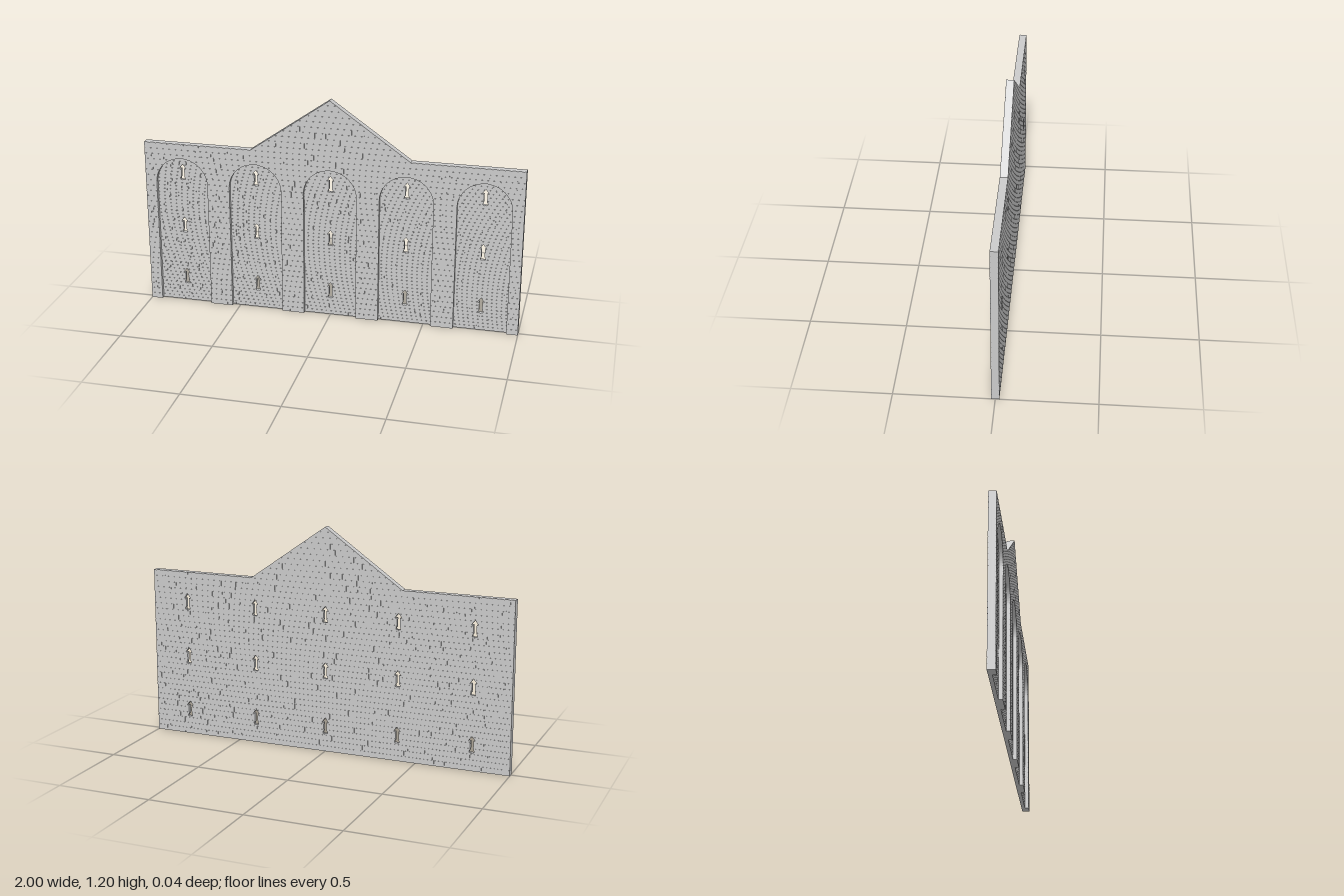
import * as THREE from 'three';
import { mergeGeometries } from 'three/addons/utils/BufferGeometryUtils.js';

const WALL_TOP = 0.9, PEAK = 1.195, GABLE = 0.42; // wall outline
const NICHE_R = 0.14, SPRING = 0.68;              // arched niches
const HALF = 0.02, JOINT = 0.0015;                // half thickness, mortar depth
const COLUMNS = [-0.8, -0.4, 0, 0.4, 0.8];
const SLIT_ROWS = [0.14, 0.44, 0.74];

// Half widths of the wall, a niche and an arrow slit at height y
const wallHalf = y => (y <= WALL_TOP ? 1 : Math.max(0, GABLE * (PEAK - y) / (PEAK - WALL_TOP)));
const nicheHalf = y => (y <= SPRING ? NICHE_R : Math.sqrt(Math.max(0, NICHE_R ** 2 - (y - SPRING) ** 2)));
const SLIT = [[0.013, -0.043], [0.013, -0.034], [0.008, -0.028], [0.008, 0.018], [0.019, 0.018], [0, 0.043]];
const slitHalf = d => {
  if (d < -0.043 || d > 0.043) return 0;
  if (d >= 0.018) return 0.019 * (0.043 - d) / 0.025;
  return d < -0.028 ? 0.013 : 0.008;
};
const slitsHalf = y => Math.max(...SLIT_ROWS.map(r => slitHalf(y - r)));

function seeded(seed) {
  return () => (seed = (seed * 16807) % 2147483647) / 2147483647;
}

function extrude(shape, z0, z1) {
  const g = new THREE.ExtrudeGeometry(shape, { depth: z1 - z0, bevelEnabled: false, curveSegments: 20 });
  return g.translate(0, 0, z0);
}

// Slab outline; the front layer is notched from below by the niches
function wallShape(withNiches) {
  const s = new THREE.Shape();
  s.moveTo(-1, 0);
  if (withNiches) {
    for (const c of COLUMNS) {
      s.lineTo(c - NICHE_R, 0);
      s.lineTo(c - NICHE_R, SPRING);
      s.absarc(c, SPRING, NICHE_R, Math.PI, 0, true);
      s.lineTo(c + NICHE_R, 0);
    }
  }
  [[1, 0], [1, WALL_TOP], [GABLE, WALL_TOP], [0, PEAK], [-GABLE, WALL_TOP], [-1, WALL_TOP]]
    .forEach(p => s.lineTo(...p));
  return s;
}

function slitHole(cx, cy) {
  const right = SLIT.map(([x, y]) => new THREE.Vector2(cx + x, cy + y));
  const left = SLIT.slice(0, -1).reverse().map(([x, y]) => new THREE.Vector2(cx - x, cy + y));
  return new THREE.Path([...right, ...left]);
}

// One course of bricks between two edge curves x = left(y) and x = right(y)
function layCourse(out, left, right, y0, y1, length, gap, z, rand) {
  const ys = [0, 0.25, 0.5, 0.75, 1].map(t => y0 + (y1 - y0) * t);
  const start = Math.max(...ys.map(left)), end = Math.min(...ys.map(right));
  if (Math.max(...ys.map(y => right(y) - left(y))) < 0.008) return;
  const joints = [];
  for (let x = start + length * (0.3 + 0.7 * rand()); x < end - length * 0.3; x += length * (0.7 + 0.6 * rand())) joints.push(x);
  for (let i = 0; i <= joints.length; i++) {
    const l = i === 0 ? left : () => joints[i - 1] + gap / 2;
    const r = i === joints.length ? right : () => joints[i] - gap / 2;
    const ly = i === 0 ? ys : [y0, y1], ry = i === joints.length ? ys : [y0, y1];
    const pts = [
      ...ry.map(y => new THREE.Vector2(Math.max(r(y), l(y) + 1e-4), y)),
      ...[...ly].reverse().map(y => new THREE.Vector2(l(y), y)),
    ];
    out.push(extrude(new THREE.Shape(pts), z, z + JOINT));
  }
}

// Fill a face with courses, leaving out symmetric cuts around the column lines
function layBricks({ top, outer, centre = 0, cuts, cutHalf, course, length, gap, z, seed }) {
  const out = [], rand = seeded(seed);
  for (let k = 0; k * course < top - 0.004; k++) {
    const y0 = k * course + (k ? gap / 2 : 0), y1 = Math.min((k + 1) * course - gap / 2, top);
    const open = [0, 0.25, 0.5, 0.75, 1].some(t => cutHalf(y0 + (y1 - y0) * t) > 0);
    let left = y => centre - outer(y);
    if (open) {
      for (const c of cuts) {
        layCourse(out, left, y => c - cutHalf(y), y0, y1, length, gap, z, rand);
        left = y => c + cutHalf(y);
      }
    }
    layCourse(out, left, y => centre + outer(y), y0, y1, length, gap, z, rand);
  }
  return mergeGeometries(out);
}

export function createModel() {
  const group = new THREE.Group();
  const material = new THREE.MeshStandardMaterial({ color: 0xcccccc });
  const add = (name, geometry) => {
    const mesh = new THREE.Mesh(geometry, material);
    mesh.name = name;
    group.add(mesh);
  };

  // Back slab pierced by arrow slits
  const slab = wallShape(false);
  for (const x of COLUMNS) for (const y of SLIT_ROWS) slab.holes.push(slitHole(x, y));
  add('backSlab', extrude(slab, -HALF + JOINT, -JOINT));

  // Front layer with arched niches
  add('archedFront', extrude(wallShape(true), -JOINT, HALF - JOINT));

  // Raised brickwork on the front, the back and inside each niche
  const big = { top: PEAK, outer: wallHalf, cuts: COLUMNS, course: 0.03, length: 0.075, gap: 0.003 };
  add('frontBricks', layBricks({ ...big, cutHalf: nicheHalf, z: HALF - JOINT, seed: 11 }));
  add('backBricks', layBricks({ ...big, cutHalf: slitsHalf, z: -HALF, seed: 23 }));
  COLUMNS.forEach((x, i) => add('nicheBricks' + (i + 1), layBricks({
    top: SPRING + NICHE_R, outer: nicheHalf, centre: x, cuts: [x], cutHalf: slitsHalf,
    course: 0.02, length: 0.05, gap: 0.0025, z: -JOINT, seed: 41 + i,
  })));

  return group;
}
